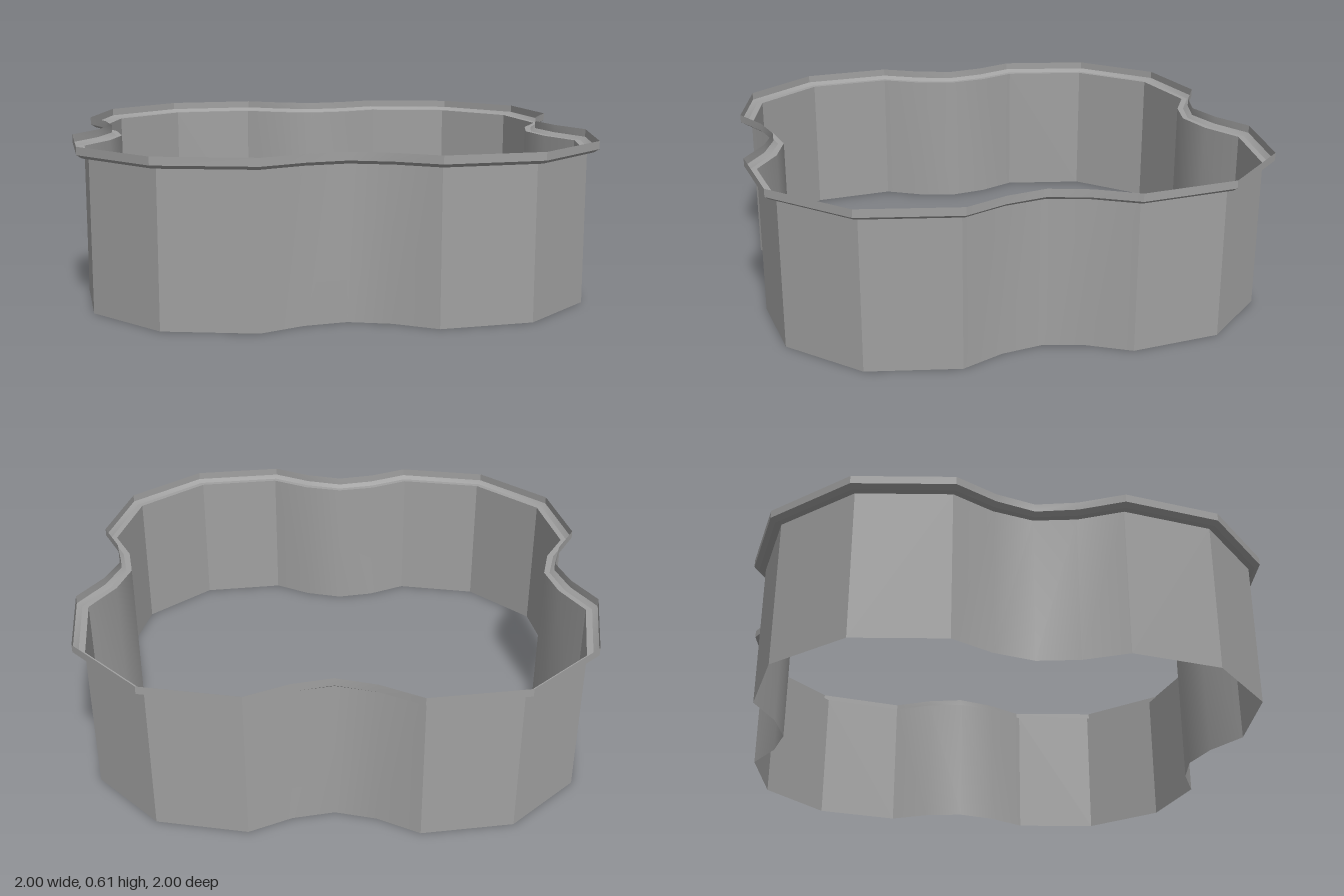
import * as THREE from 'three';
import { toCreasedNormals } from 'three/addons/utils/BufferGeometryUtils.js';

// One quarter of each outline as [x, z], from the middle of one notch to the next
const WALL_QUARTER = [[0.84, 0], [0.875, 0.155], [0.955, 0.31], [0.9, 0.65], [0.65, 0.9], [0.31, 0.955], [0.155, 0.875]];
const RIM_QUARTER = [[0.88, 0], [0.92, 0.15], [1, 0.305], [0.94, 0.67], [0.67, 0.94], [0.305, 1], [0.15, 0.92]];

// Turn a quarter outline four times into a closed loop
function closeOutline(quarter) {
  const loop = [];
  for (let turn = 0; turn < 4; turn++) {
    for (let [x, z] of quarter) {
      for (let k = 0; k < turn; k++) [x, z] = [-z, x];
      loop.push([x, z]);
    }
  }
  return loop;
}

const wallLoop = closeOutline(WALL_QUARTER);
const rimLoop = closeOutline(RIM_QUARTER);

// Sheet through rows of [flare, height]; flare 0 is the wall outline, 1 the rim outline
function sheet(rows) {
  const n = wallLoop.length;
  const point = (i, [flare, y]) => {
    const [wx, wz] = wallLoop[i % n];
    const [rx, rz] = rimLoop[i % n];
    return [wx + (rx - wx) * flare, y, wz + (rz - wz) * flare];
  };
  const positions = [];
  for (let r = 0; r < rows.length - 1; r++) {
    for (let i = 0; i < n; i++) {
      const a = point(i, rows[r]);
      const b = point(i + 1, rows[r]);
      const c = point(i, rows[r + 1]);
      const d = point(i + 1, rows[r + 1]);
      positions.push(...b, ...a, ...c, ...b, ...c, ...d);
    }
  }
  const geometry = new THREE.BufferGeometry();
  geometry.setAttribute('position', new THREE.Float32BufferAttribute(positions, 3));
  // Notches stay smooth, lobe corners stay sharp
  return toCreasedNormals(geometry, THREE.MathUtils.degToRad(32.5));
}

export function createModel() {
  const metal = new THREE.MeshStandardMaterial({ color: 0xa0a0a0, side: THREE.DoubleSide });
  metal.name = 'grey metal';

  const group = new THREE.Group();
  group.name = 'cookieCutter';
  const add = (name, rows) => {
    const mesh = new THREE.Mesh(sheet(rows), metal);
    mesh.name = name;
    group.add(mesh);
  };

  // Thin upright cutting wall
  add('cuttingWall', [[0, 0], [0, 0.567]]);
  // Flat ledge, bevel and upright lip around the top
  add('rim', [[0, 0.567], [0.55, 0.567], [1, 0.58], [1, 0.61]]);

  return group;
}
